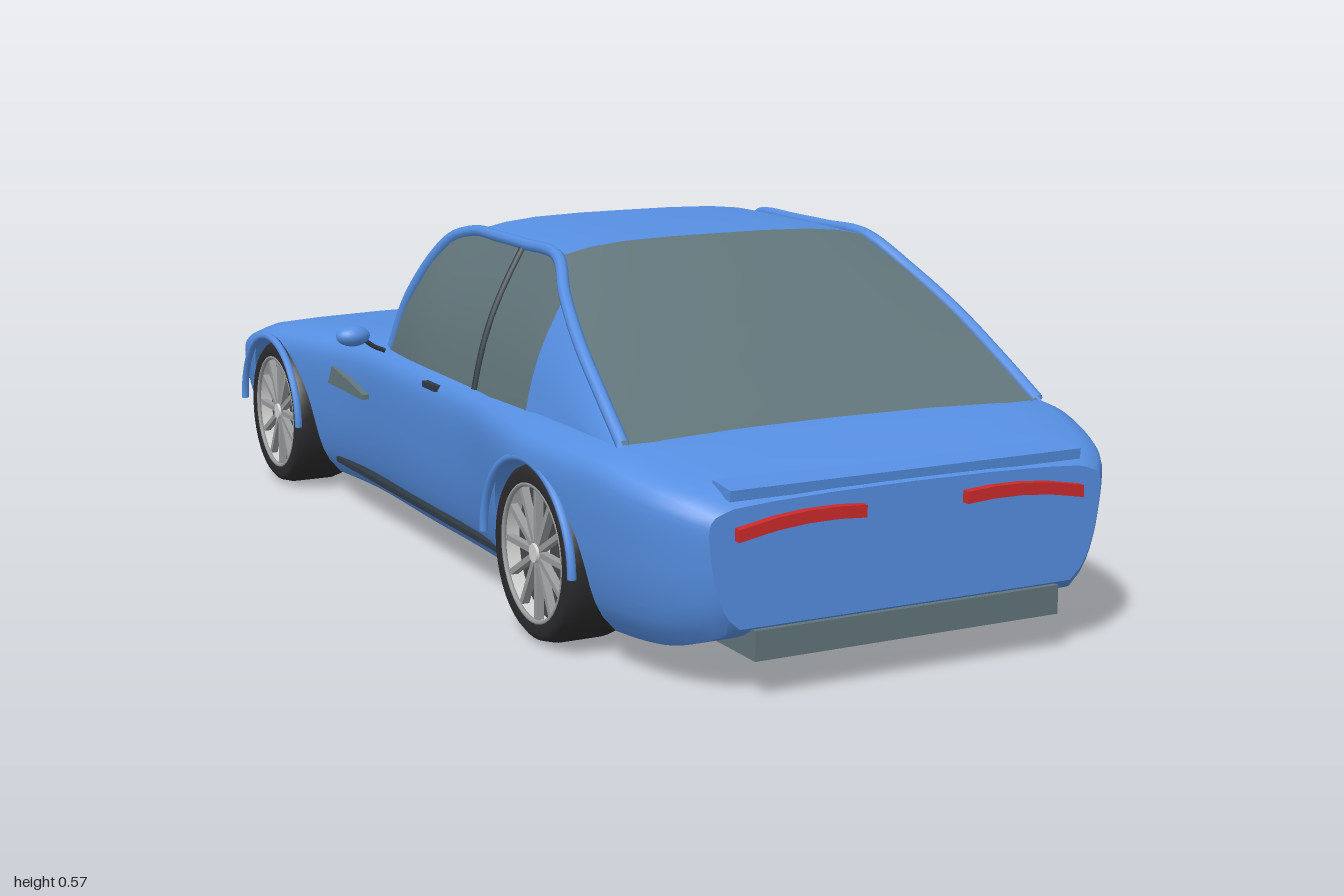
import * as THREE from 'three';
import { toCreasedNormals } from 'three/addons/utils/BufferGeometryUtils.js';

const material = (name, color, side = THREE.FrontSide) => {
  const m = new THREE.MeshStandardMaterial({ color, side });
  m.name = name;
  return m;
};
const V = (x, y, z) => new THREE.Vector3(x, y, z);
const outline = points => new THREE.Shape(points.map(p => new THREE.Vector2(...p)));
const extrude = (points, depth) => new THREE.ExtrudeGeometry(outline(points), { depth, bevelEnabled: false });

// Smooth interpolation through a table of [z, value] pairs
function interp(table, z) {
  const n = table.length - 1;
  if (z <= table[0][0]) return table[0][1];
  if (z >= table[n][0]) return table[n][1];
  let i = 0;
  while (z > table[i + 1][0]) i++;
  const slope = k => {
    const a = table[Math.max(0, k - 1)], b = table[Math.min(n, k + 1)];
    return (b[1] - a[1]) / (b[0] - a[0]);
  };
  const [z0, v0] = table[i], [z1, v1] = table[i + 1], h = z1 - z0, t = (z - z0) / h;
  const t2 = t * t, t3 = t2 * t;
  return v0 * (2 * t3 - 3 * t2 + 1) + v1 * (3 * t2 - 2 * t3)
    + h * (slope(i) * (t3 - 2 * t2 + t) + slope(i + 1) * (t3 - t2));
}

// Triangle surface through rows of points; optionally closed around and capped
function surface(rows, closed = false) {
  const n = rows[0].length, pos = rows.flat().flatMap(p => [p.x, p.y, p.z]), idx = [];
  for (let r = 0; r < rows.length - 1; r++)
    for (let c = 0; c < (closed ? n : n - 1); c++) {
      const a = r * n + c, b = r * n + (c + 1) % n;
      idx.push(a, b, a + n, b, b + n, a + n);
    }
  if (closed) [0, rows.length - 1].forEach((r, end) => {
    const mid = rows[r].reduce((s, p) => s.add(p), V(0, 0, 0)).divideScalar(n);
    const m = pos.length / 3;
    pos.push(mid.x, mid.y, mid.z);
    for (let c = 0; c < n; c++) {
      const a = r * n + c, b = r * n + (c + 1) % n;
      idx.push(m, end ? a : b, end ? b : a);
    }
  });
  const g = new THREE.BufferGeometry();
  g.setAttribute('position', new THREE.Float32BufferAttribute(pos, 3));
  g.setIndex(idx);
  return toCreasedNormals(g, 0.6);
}

// Body outline along z: half width, top edge and underside
const WIDTH = [[-0.978, 0.25], [-0.97, 0.28], [-0.95, 0.325], [-0.9, 0.36], [-0.8, 0.387], [-0.6, 0.423], [-0.45, 0.413],
  [-0.25, 0.388], [0, 0.39], [0.3, 0.393], [0.42, 0.412], [0.58, 0.432], [0.7, 0.426], [0.82, 0.408], [0.9, 0.385],
  [0.95, 0.358], [0.982, 0.33]];
const TOP = [[-0.978, 0.16], [-0.97, 0.18], [-0.95, 0.203], [-0.9, 0.229], [-0.77, 0.266], [-0.6, 0.301], [-0.5, 0.31],
  [-0.3, 0.322], [-0.1, 0.331], [0.3, 0.333], [0.77, 0.331], [0.88, 0.312], [0.95, 0.293], [0.982, 0.277]];
const BASE = [[-0.978, 0.115], [-0.96, 0.085], [-0.9, 0.06], [-0.72, 0.053], [-0.4, 0.046], [0.43, 0.046], [0.76, 0.053],
  [0.88, 0.062], [0.95, 0.085], [0.982, 0.105]];
const SIDE = [[0, 0.85], [0.12, 0.915], [0.35, 0.965], [0.6, 0.99], [0.78, 1], [0.88, 0.995], [0.95, 0.965], [1, 0.88]];
const WHEELS = [-0.556, 0.598], ARCH = 0.158, ARCH_RISE = 0.148, HUB = 0.137;

function bodyGeometry() {
  const stations = [];
  const plain = (from, to, n) => {
    for (let i = 0; i <= n; i++) {
      const z = from + (to - from) * i / n;
      stations.push([z, interp(BASE, z)]);
    }
  };
  // the arches cut straight across, so the floor simply steps up over each axle
  const arch = c => {
    for (let i = 0; i <= 24; i++) {
      const a = Math.PI * i / 24;
      stations.push([c - ARCH * Math.cos(a), HUB + ARCH_RISE * Math.sin(a)]);
    }
  };
  plain(-0.978, WHEELS[0] - ARCH, 20);
  arch(WHEELS[0]);
  plain(WHEELS[0] + ARCH, WHEELS[1] - ARCH, 16);
  arch(WHEELS[1]);
  plain(WHEELS[1] + ARCH, 0.982, 14);
  return surface(stations.map(([z, floor]) => {
    const w = interp(WIDTH, z), top = interp(TOP, z), base = interp(BASE, z), half = [];
    for (let i = 0; i <= 16; i++) {
      const u = 1 - Math.pow(1 - i / 16, 1.4);
      const y = Math.min(top, Math.max(floor, base + (top - base) * u));
      half.push(V(w * interp(SIDE, (y - base) / (top - base)), y, z));
    }
    half.push(V(w * 0.7, top + 0.004, z), V(w * 0.4, top + 0.007, z), V(0, top + 0.008, z));
    return [...half, ...half.slice(0, -1).reverse().map(p => V(-p.x, p.y, p.z))];
  }), true);
}

// Roof rail running from the windscreen base over the roof to the rear deck
const RAIL = [[0.35, 0.33, -0.112], [0.337, 0.417, -0.07], [0.313, 0.498, -0.01], [0.295, 0.537, 0.035], [0.28, 0.552, 0.09],
  [0.277, 0.553, 0.18], [0.278, 0.553, 0.285], [0.283, 0.55, 0.415], [0.312, 0.503, 0.5], [0.336, 0.446, 0.6],
  [0.35, 0.386, 0.7], [0.36, 0.333, 0.785]].map(p => V(...p));
const BELT = [[-0.112, 0.356], [0, 0.364], [0.3, 0.368], [0.5, 0.38], [0.785, 0.37]];

function sideRow(p, s) {
  const row = [], x0 = interp(BELT, p.z);
  for (let i = 0; i <= 6; i++) {
    const t = i / 6, bulge = 0.06 * (p.y - 0.325) * Math.sin(Math.PI * t);
    row.push(V(s * (x0 + (p.x - x0) * t + bulge), 0.325 + (p.y - 0.325) * t, p.z));
  }
  return row;
}
const acrossRow = p => [-1, -0.8, -0.6, -0.3, 0, 0.3, 0.6, 0.8, 1].map(f =>
  V(p.x * f, p.y + 0.02 * (1 - f ** 4) * THREE.MathUtils.clamp((p.y - 0.33) / 0.2, 0, 1), p.z));
const tube = (points, r, closed = false) =>
  new THREE.TubeGeometry(new THREE.CatmullRomCurve3(points, closed), points.length * 6, r, 8, closed);

export function createModel() {
  const model = new THREE.Group();
  const paint = material('blue paint', 0x568fe2, THREE.DoubleSide);
  const glass = material('grey glass', 0x61757a, THREE.DoubleSide);
  const rubber = material('black rubber', 0x2b2a2c);
  const trim = material('dark trim', 0x2f3a44);
  const silver = material('light rim', 0xd2d4d2, THREE.DoubleSide);
  const spokeGrey = material('spoke grey', 0x9a9c9d);
  const shade = material('wheel shade', 0x46484a);
  const red = material('red lamp', 0xcc2a2a);
  const chrome = material('grille metal', 0x85867c);
  const add = (name, geometry, mat, x = 0, y = 0, z = 0, parent = model) => {
    const m = new THREE.Mesh(geometry, mat);
    m.name = name;
    m.position.set(x, y, z);
    parent.add(m);
    return m;
  };
  const box = (w, h, d) => new THREE.BoxGeometry(w, h, d);

  add('body', bodyGeometry(), paint);

  // Cabin: glass front and back, painted roof between
  add('windscreen', surface(RAIL.slice(0, 5).map(acrossRow)), glass);
  add('roof', surface(RAIL.slice(4, 8).map(acrossRow)), paint);
  add('rearWindow', surface(RAIL.slice(7).map(acrossRow)), glass);

  for (const s of [1, -1]) {
    add('sideWindow', surface(RAIL.slice(0, 9).map(p => sideRow(p, s))), glass);
    add('rearPillar', surface(RAIL.slice(8).map(p => sideRow(p, s))), paint);
    add('roofRail', tube(RAIL.map(p => V(s * p.x, p.y, p.z)), 0.01), paint);
    add('doorPillar', tube(sideRow(RAIL[6], s), 0.007), trim);

    // Mirror, handle, sill strip and wing vent
    add('mirror', new THREE.SphereGeometry(1, 20, 14), paint, s * 0.428, 0.356, -0.1).scale.set(0.03, 0.018, 0.022);
    add('mirrorStem', tube([V(s * 0.37, 0.326, -0.1), V(s * 0.39, 0.335, -0.1), V(s * 0.41, 0.35, -0.1)], 0.004), trim);
    add('doorHandle', box(0.012, 0.01, 0.052), trim, s * 0.386, 0.308, 0.148);
    add('sillStrip', box(0.03, 0.009, 0.76), trim, s * 0.359, 0.084, 0.04);
    add('wingVent', extrude([[0.14, 0.233], [0.312, 0.234], [0.29, 0.268], [0.21, 0.256], [0.14, 0.242]], 0.02)
      .rotateY(Math.PI / 2), glass, s > 0 ? 0.378 : -0.398);

    // Gently bowed tail lamp
    const xs = [0.085, 0.13, 0.18, 0.23, 0.29].map(x => s * x);
    const bow = x => 0.257 - 0.8 * (Math.abs(x) - 0.15) ** 2;
    add('tailLamp', extrude([...xs.map(x => [x, bow(x) - 0.009]), ...xs.reverse().map(x => [x, bow(x) + 0.009])], 0.02),
      red, 0, 0, 0.975);

    for (const z of WHEELS) {
      // Arch lip
      add('archLip', new THREE.TorusGeometry(ARCH - 0.003, 0.007, 8, 32, Math.PI).rotateY(Math.PI / 2),
        paint, s * 0.425, HUB, z).scale.y = ARCH_RISE / ARCH;

      // Wheel, with its axle along x and its face outwards
      const wheel = new THREE.Group();
      wheel.name = 'wheel';
      wheel.position.set(s * 0.357, HUB, z);
      wheel.rotation.y = s > 0 ? 0 : Math.PI;
      model.add(wheel);
      const profile = [[0.106, -0.06], [0.122, -0.0625], [0.131, -0.055], [0.1365, -0.035], [0.1365, 0.035],
        [0.131, 0.055], [0.122, 0.0625], [0.106, 0.06]].map(p => new THREE.Vector2(...p));
      const axle = g => g.rotateZ(-Math.PI / 2);
      add('tyre', axle(new THREE.LatheGeometry(profile, 40)), rubber, 0, 0, 0, wheel);
      add('rimBarrel', axle(new THREE.CylinderGeometry(0.107, 0.107, 0.12, 40, 1, true)), silver, 0, 0, 0, wheel);
      add('rimBack', new THREE.CircleGeometry(0.106, 32).rotateY(-Math.PI / 2), silver, 0.028, 0, 0, wheel);
      add('wheelShade', new THREE.CircleGeometry(0.106, 32).rotateY(Math.PI / 2), shade, 0.03, 0, 0, wheel);
      add('rimRing', new THREE.TorusGeometry(0.104, 0.004, 8, 40).rotateY(Math.PI / 2), spokeGrey, 0.057, 0, 0, wheel);
      add('hub', axle(new THREE.CylinderGeometry(0.014, 0.019, 0.02, 16)), silver, 0.047, 0, 0, wheel);
      for (let i = 0; i < 12; i++)
        add('spoke', box(0.012, 0.09, 0.009).translate(0, 0.058, 0), spokeGrey, 0.047, 0, 0, wheel)
          .rotation.x = i * Math.PI / 6;
    }
  }

  // Tail: lip spoiler and lower panel
  add('spoiler', box(0.59, 0.016, 0.05), paint, 0, 0.296, 0.952).rotation.x = 0.1;
  add('lowerPanel', box(0.515, 0.044, 0.11), glass, 0, 0.079, 0.93);

  // Grille: wavy surround with crossed bars, leaning back at the top
  const grille = new THREE.Group();
  grille.name = 'grille';
  grille.position.z = -1.006;
  grille.rotation.x = 0.12;
  model.add(grille);
  const half = [[0.07, 0.208], [0.14, 0.226], [0.19, 0.222], [0.21, 0.185], [0.195, 0.13], [0.172, 0.085], [0.08, 0.077]];
  const ring = [[0, 0.205], ...half, [0, 0.076], ...half.map(([x, y]) => [-x, y]).reverse()];
  add('grilleSurround', tube(ring.map(([x, y]) => V(x, y, 0)), 0.005, true), chrome, 0, 0, 0, grille);
  for (let i = 0; i < 8; i++)
    add('grilleBar', box(0.35 + 0.008 * i, 0.005, 0.004), chrome, 0, 0.09 + 0.0155 * i, 0, grille);
  for (let i = -9; i <= 9; i++)
    add('grilleUpright', box(0.005, 0.128, 0.004), chrome, i * 0.019, 0.142, 0, grille);
  return model;
}
